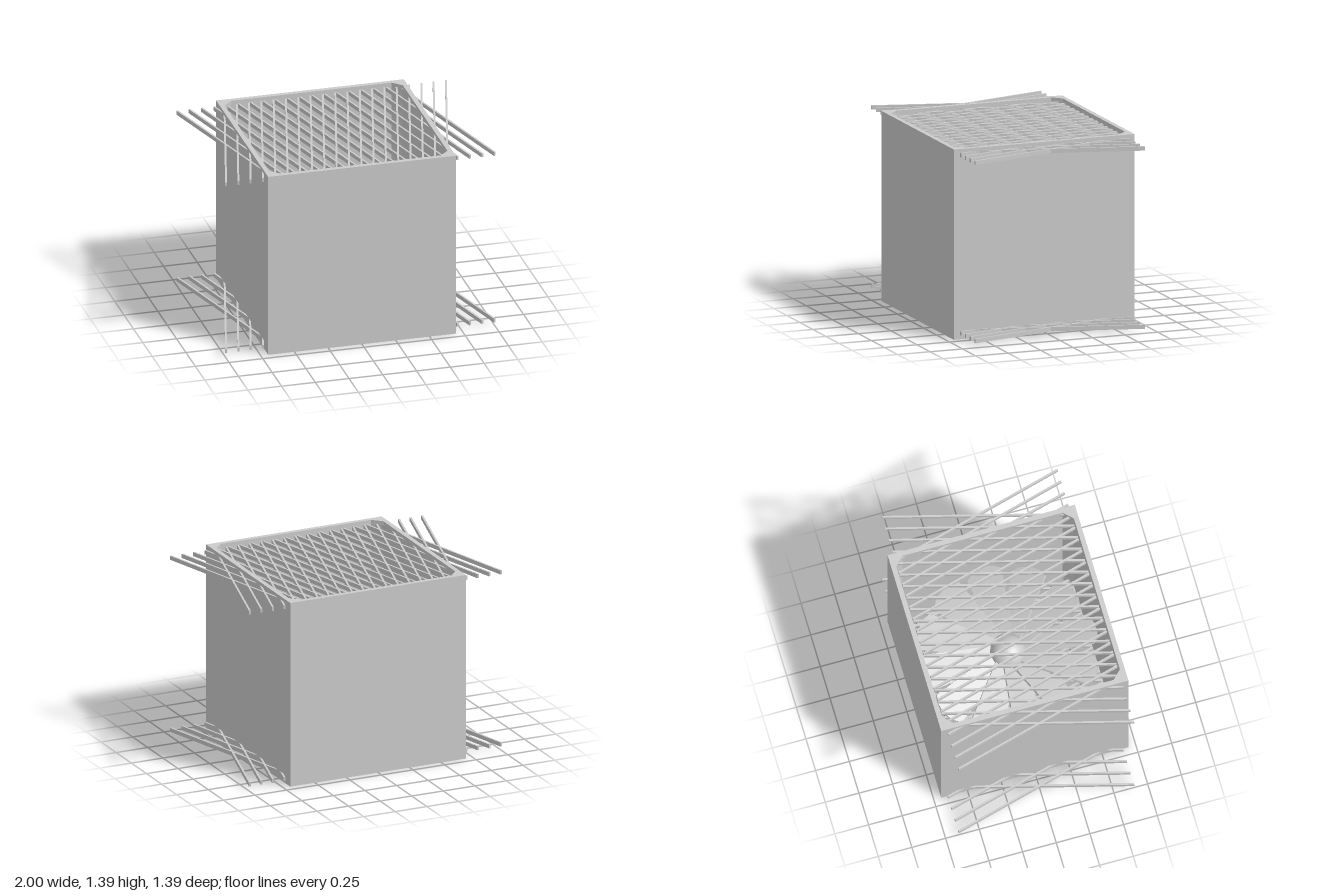
import * as THREE from 'three';

const SIZE = 1.39, HALF = SIZE / 2;

export function createModel() {
  const model = new THREE.Group();
  const grey = new THREE.MeshStandardMaterial({ color: 0xcccccc });
  const flat = new THREE.MeshStandardMaterial({ color: 0xcccccc, flatShading: true });

  const add = (parent, name, geometry, material = flat) => {
    const mesh = new THREE.Mesh(geometry, material);
    mesh.name = name;
    parent.add(mesh);
    return mesh;
  };
  const polygon = (points) => points.map(([x, y]) => new THREE.Vector2(x, y));

  // Square duct, open at top and bottom, with chamfered inner corners
  const a = 0.66, b = 0.595;
  const outline = new THREE.Shape(polygon([[-HALF, -HALF], [HALF, -HALF], [HALF, HALF], [-HALF, HALF]]));
  outline.holes.push(new THREE.Path(polygon([
    [-b, -a], [-a, -b], [-a, b], [-b, a], [b, a], [a, b], [a, -b], [b, -a],
  ])));
  const housing = new THREE.ExtrudeGeometry(outline, { depth: SIZE, bevelEnabled: false });
  housing.rotateX(-Math.PI / 2);
  add(model, 'housing', housing);

  // Two grilles of crossed bars that run past the housing sides
  const tilt = Math.PI / 12, barCount = 19, reach = 0.82;
  const barGeometry = new THREE.BoxGeometry(0.014, 0.03, 1.35);
  for (const [name, y] of [['bottomGrille', 0.048], ['topGrille', SIZE - 0.04]]) {
    const grille = new THREE.Group();
    grille.name = name;
    grille.position.y = y;
    for (const side of [-1, 1]) {
      for (let i = 0; i < barCount; i++) {
        const bar = add(grille, 'grilleBar', barGeometry);
        bar.position.x = -reach + (2 * reach * i) / (barCount - 1);
        bar.rotation.y = side * tilt;
      }
    }
    model.add(grille);
  }

  // Fan: ball hub with twelve pitched blades
  const fan = new THREE.Group();
  fan.name = 'fan';
  fan.position.y = HALF;
  model.add(fan);
  add(fan, 'hub', new THREE.SphereGeometry(0.13, 32, 24), grey);

  const bladeShape = new THREE.Shape(polygon([
    [0.08, -0.064], [0.605, -0.133], [0.64, -0.085], [0.652, -0.04],
    [0.652, 0.04], [0.64, 0.085], [0.605, 0.133], [0.08, 0.064],
  ]));
  const bladeGeometry = new THREE.ExtrudeGeometry(bladeShape, { depth: 0.02, bevelEnabled: false });
  bladeGeometry.translate(0, 0, -0.01);
  bladeGeometry.rotateX(-Math.PI / 2 - THREE.MathUtils.degToRad(20));
  for (let i = 0; i < 12; i++) {
    add(fan, 'blade', bladeGeometry).rotation.y = (i * Math.PI) / 6;
  }

  return model;
}
